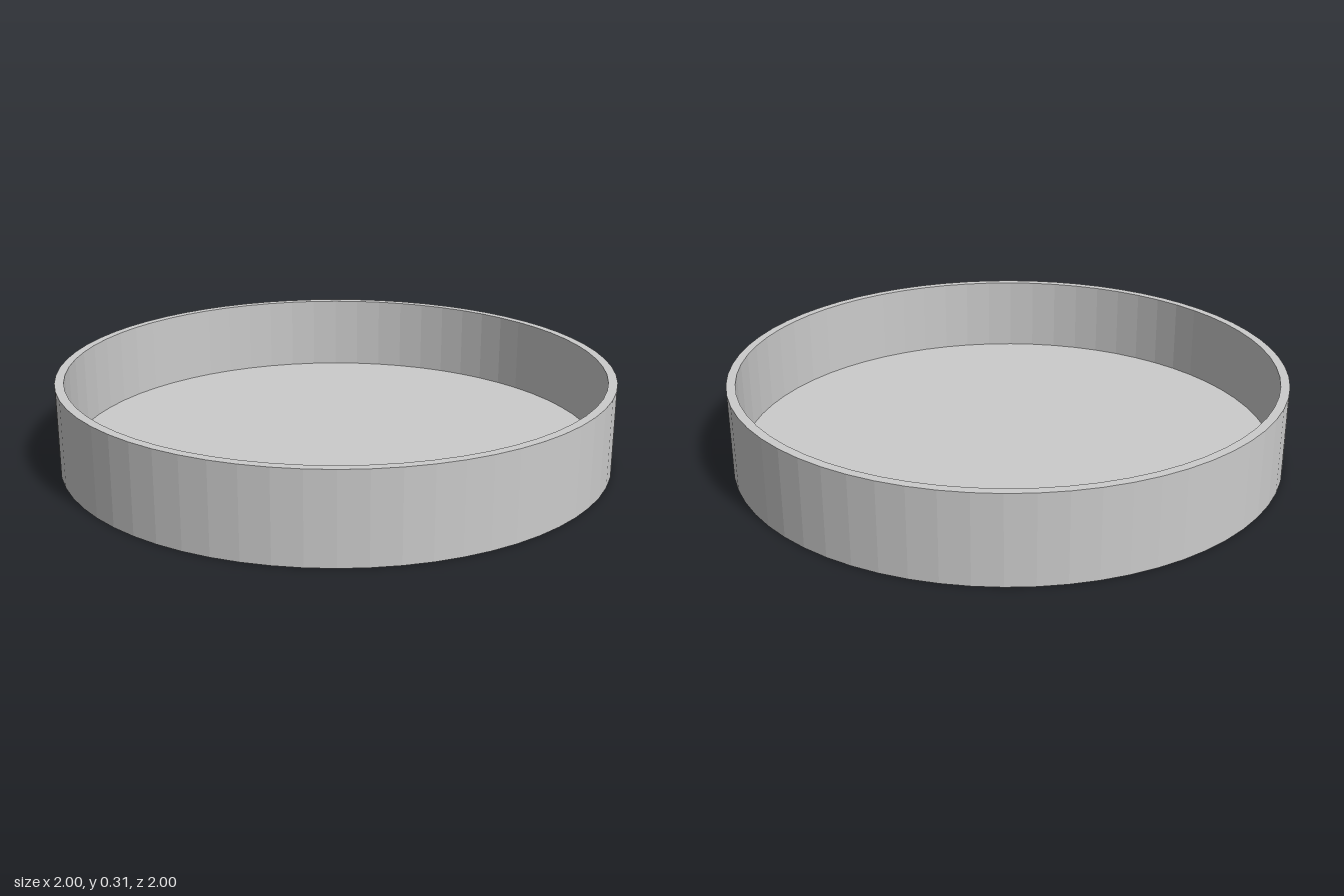
import * as THREE from 'three';

const RADIUS = 1, HEIGHT = 0.315, WALL = 0.032, FLOOR = 0.034, SIDES = 64;

export function createModel() {
  const group = new THREE.Group();
  group.name = 'roundTray';
  const material = new THREE.MeshStandardMaterial({ color: 0xcccccc, flatShading: true });

  // Closed section: underside, outer wall, rim, inner wall, floor
  const inner = RADIUS - WALL;
  const profile = [
    [0, 0], [RADIUS, 0], [RADIUS, HEIGHT], [inner, HEIGHT], [inner, FLOOR], [0, FLOOR],
  ].map(([x, y]) => new THREE.Vector2(x, y));

  const tray = new THREE.Mesh(new THREE.LatheGeometry(profile, SIDES), material);
  tray.name = 'tray';
  group.add(tray);
  return group;
}
